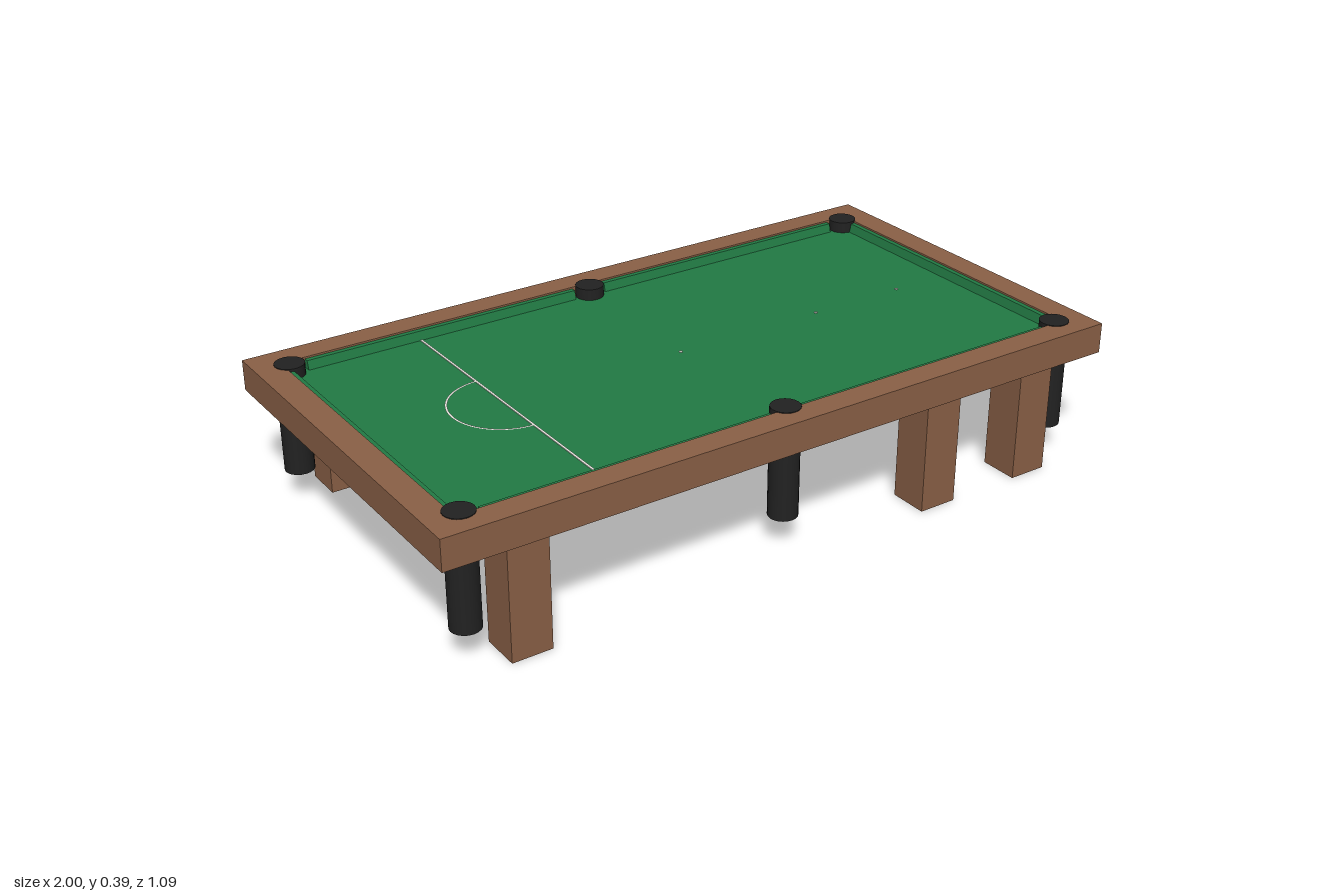
import * as THREE from 'three';

const material = (name, color) => {
  const m = new THREE.MeshStandardMaterial({ color });
  m.name = name;
  return m;
};

export function createModel() {
  const wood = material('brown wood', 0x8a6046);
  const cloth = material('green cloth', 0x227a44);
  const black = material('black pocket', 0x222222);
  const white = material('white marking', 0xf2f2ea);
  const table = new THREE.Group();
  table.name = 'poolTable';

  function add(name, geometry, mat, x = 0, y = 0, z = 0) {
    const mesh = new THREE.Mesh(geometry, mat);
    mesh.name = name;
    mesh.position.set(x, y, z);
    table.add(mesh);
    return mesh;
  }

  const top = 0.39, bottom = 0.305, bedTop = 0.36, bedBottom = 0.335;
  const innerX = 0.925, innerZ = 0.47;

  // Wooden frame: a rectangle with a rectangular opening
  const rect = (Type, x, z) => {
    const p = new Type();
    p.moveTo(-x, -z);
    p.lineTo(x, -z);
    p.lineTo(x, z);
    p.lineTo(-x, z);
    p.closePath();
    return p;
  };
  const outline = rect(THREE.Shape, 1, 0.543);
  outline.holes.push(rect(THREE.Path, innerX, innerZ));
  const frameGeometry = new THREE.ExtrudeGeometry(outline, { depth: top - bottom, bevelEnabled: false });
  frameGeometry.rotateX(-Math.PI / 2);
  add('frame', frameGeometry, wood, 0, bottom, 0);

  // Cloth-covered bed
  add('bed', new THREE.BoxGeometry(innerX * 2, bedTop - bedBottom, innerZ * 2), cloth,
    0, (bedTop + bedBottom) / 2, 0);

  // Cushions: a steep-nosed profile run between the pockets, nose towards the bed
  function cushion(length, x, z, turn) {
    const profile = new THREE.Shape([
      new THREE.Vector2(0, 0), new THREE.Vector2(0.02, 0),
      new THREE.Vector2(0.014, 0.025), new THREE.Vector2(0, 0.025),
    ]);
    const g = new THREE.ExtrudeGeometry(profile, { depth: length, bevelEnabled: false });
    g.translate(0, 0, -length / 2);
    add('cushion', g, cloth, x, bedTop, z).rotation.y = turn;
  }
  for (const s of [-1, 1]) {
    cushion(0.84, s * innerX, 0, s > 0 ? Math.PI : 0);
    for (const x of [-0.453, 0.453]) cushion(0.81, x, s * innerZ, s * Math.PI / 2);
  }

  // Pockets and legs on both long sides
  const pocketTop = 0.392, pocketBottom = 0.085;
  const pocketGeometry = new THREE.CylinderGeometry(0.04, 0.04, pocketTop - pocketBottom, 20);
  const legGeometry = new THREE.BoxGeometry(0.11, bottom, 0.11);
  for (const s of [-1, 1]) {
    for (const x of [-0.907, 0, 0.907])
      add('pocket', pocketGeometry, black, x, (pocketTop + pocketBottom) / 2, s * 0.456);
    for (const x of [-0.78, 0.453, 0.775])
      add('leg', legGeometry, wood, x, bottom / 2, s * 0.482);
  }

  // Markings: baulk line, semicircle and spots
  const markY = bedTop + 0.001;
  add('baulkLine', new THREE.BoxGeometry(0.006, 0.002, 0.9), white, -0.533, markY, 0);
  const arc = new THREE.RingGeometry(0.143, 0.149, 40, 1, Math.PI / 2, Math.PI);
  arc.rotateX(-Math.PI / 2);
  add('baulkArc', arc, white, -0.533, markY + 0.001, 0);
  const spot = new THREE.CylinderGeometry(0.005, 0.005, 0.002, 10);
  for (const x of [0, 0.45, 0.74]) add('spot', spot, white, x, markY, 0);

  return table;
}
